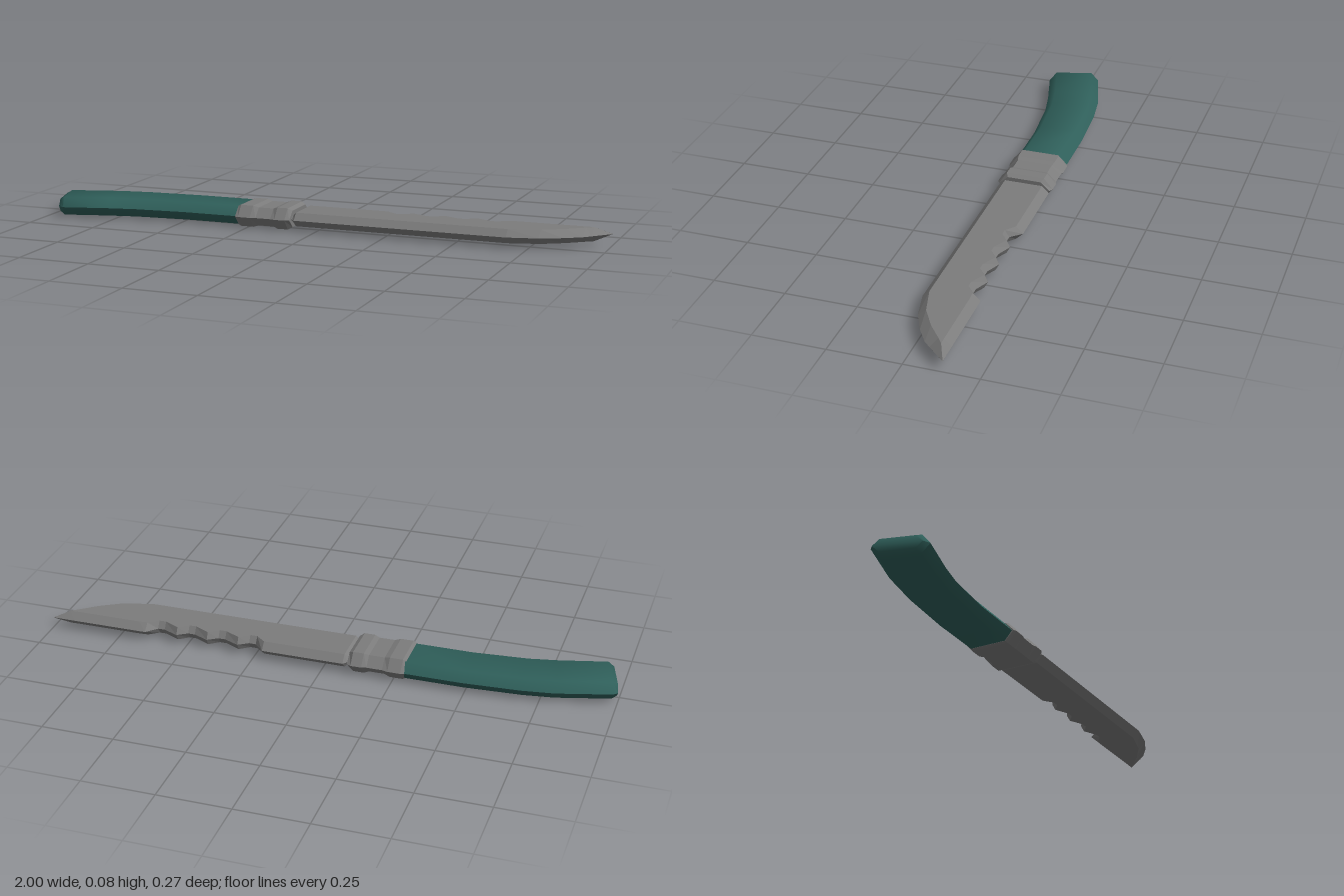
import * as THREE from 'three';
import { toCreasedNormals } from 'three/addons/utils/BufferGeometryUtils.js';

const MID = 0.0375; // height of the knife's centre plane

// Six-sided section: [x, back edge z, back flat z, front flat z, front edge z, half thickness, slant]
function ring([x, zb, zbt, zft, zf, h, slant = 0]) {
  const p = (z, y) => [x + slant * (z - zb), MID + y, z];
  return [p(zb, 0), p(zbt, h), p(zft, h), p(zf, 0), p(zft, -h), p(zbt, -h)];
}

// Skin a row of sections and close both ends
function loft(sections, crease) {
  const rings = sections.map(ring);
  const pos = [];
  const tri = (a, b, c) => pos.push(...a, ...b, ...c);
  for (let i = 0; i < rings.length - 1; i++) {
    for (let k = 0; k < 6; k++) {
      const n = (k + 1) % 6;
      const a = rings[i][k], b = rings[i][n], c = rings[i + 1][n], d = rings[i + 1][k];
      tri(a, b, c);
      tri(a, c, d);
    }
  }
  const first = rings[0], last = rings[rings.length - 1];
  for (let k = 1; k < 5; k++) {
    tri(first[0], first[k + 1], first[k]);
    tri(last[0], last[k], last[k + 1]);
  }
  const g = new THREE.BufferGeometry();
  g.setAttribute('position', new THREE.Float32BufferAttribute(pos, 3));
  g.computeVertexNormals();
  return crease ? toCreasedNormals(g, crease) : g;
}

export function createModel() {
  const steel = new THREE.MeshStandardMaterial({ color: 0x7c7c7c });
  steel.name = 'steel grey';
  const teal = new THREE.MeshStandardMaterial({ color: 0x2f5f5a });
  teal.name = 'dark teal';

  const group = new THREE.Group();
  const add = (name, geometry, material) => {
    const mesh = new THREE.Mesh(geometry, material);
    mesh.name = name;
    group.add(mesh);
  };

  // Curved grip, smooth around, with a slanted butt
  const grip = [
    [-1.0, -0.036, -0.015, 0.095, 0.118, 0.022, 0.29],
    [-0.985, -0.05, -0.024, 0.105, 0.131, 0.032, 0.29],
    [-0.8, -0.102, -0.075, 0.063, 0.09, 0.032, 0.12],
    [-0.69, -0.118, -0.091, 0.043, 0.07, 0.032, 0.06],
    [-0.49, -0.13, -0.103, 0.027, 0.054, 0.032],
    [-0.28, -0.13, -0.103, 0.027, 0.054, 0.032],
  ];
  add('handle', loft(grip, 1.15), teal);

  // Collar with two raised bands
  const collar = [
    [-0.292, 0.096, 0.033], [-0.28, 0.1, 0.0375], [-0.235, 0.1, 0.0375],
    [-0.215, 0.095, 0.032], [-0.16, 0.095, 0.032], [-0.143, 0.1, 0.0375],
    [-0.105, 0.1, 0.0375], [-0.09, 0.092, 0.029],
  ].map(([x, r, h]) => [x, -0.035 - r, -0.035 - r + 0.032, -0.035 + r - 0.032, -0.035 + r, h]);
  add('collar', loft(collar), steel);

  // Blade: narrow root, notched spine, edge sweeping up to the tip
  const blade = [
    [-0.1, -0.115, -0.095, 0.02, 0.04, 0.012],
    [-0.088, -0.115, -0.095, 0.02, 0.04, 0.012],
    [-0.075, -0.13, -0.105, 0.03, 0.054, 0.024],
    [0.215, -0.13, -0.105, 0.03, 0.054, 0.024],
  ];
  for (let i = 0; i < 4; i++) {
    const x = 0.25 + i * 0.113;
    const peak = i < 3 ? -0.116 : -0.13;
    blade.push([x, -0.093, -0.077, 0.03, 0.054, 0.024]);
    blade.push([x + 0.025, -0.093, -0.077, 0.03, 0.054, 0.024]);
    blade.push([x + 0.06, peak, -0.103, 0.03, 0.054, 0.024]);
  }
  blade.push(
    [0.68, -0.13, -0.105, 0.03, 0.054, 0.024],
    [0.785, -0.13, -0.105, 0.002, 0.03, 0.024],
    [0.86, -0.13, -0.105, -0.042, -0.005, 0.024],
    [0.917, -0.13, -0.105, -0.087, -0.042, 0.024],
    [0.94, -0.13, -0.106, -0.104, -0.066, 0.024],
    [0.998, -0.13, -0.13, -0.13, -0.13, 0.0005],
  );
  add('blade', loft(blade), steel);

  return group;
}
